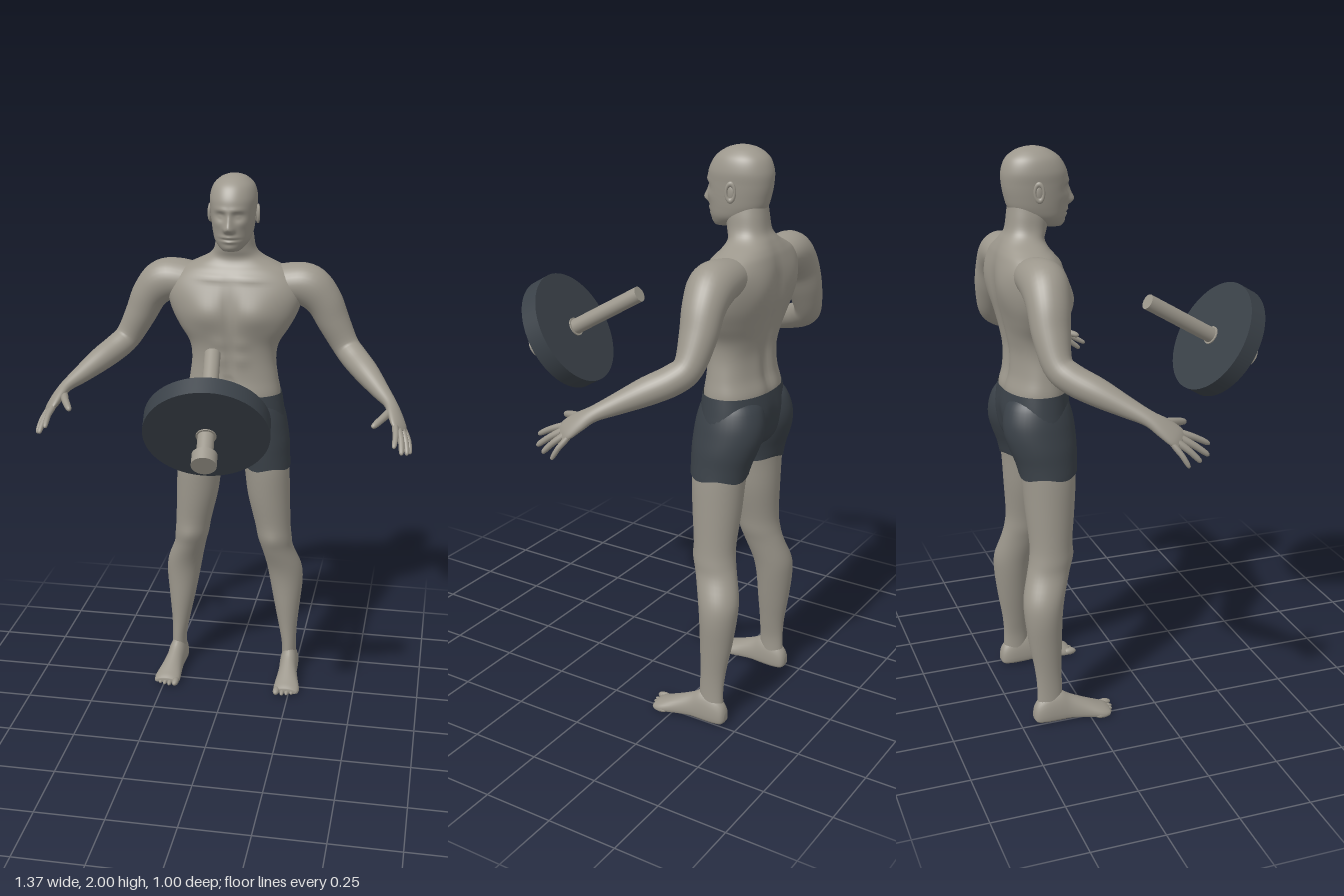
import * as THREE from 'three';

const skin = new THREE.MeshStandardMaterial({ color: 0x9c978c });
skin.name = 'skin and steel';
const slate = new THREE.MeshStandardMaterial({ color: 0x3a4148, side: THREE.DoubleSide });
slate.name = 'dark slate';

// Catmull-Rom interpolation of number rows, k steps per span
function smoothRows(rows, k) {
  const out = [], n = rows.length - 1;
  for (let i = 0; i < n; i++) {
    const a = rows[Math.max(i - 1, 0)], b = rows[i], c = rows[i + 1], d = rows[Math.min(i + 2, n)];
    for (let s = 0; s < k; s++) {
      const t = s / k;
      out.push(b.map((v, j) => 0.5 * (2 * v + (c[j] - a[j]) * t + (2 * a[j] - 5 * v + 4 * c[j] - d[j]) * t * t
        + (3 * v - a[j] - 3 * c[j] + d[j]) * t * t * t)));
    }
  }
  out.push(rows[n]);
  return out;
}

// Skin over rings of equal point count, with optional end caps
function loft(rings, caps = true) {
  const n = rings[0].length, pts = rings.flat(), idx = [];
  for (let i = 0; i < rings.length - 1; i++) {
    for (let j = 0; j < n; j++) {
      const a = i * n + j, b = i * n + (j + 1) % n;
      idx.push(a, b, a + n, b, b + n, a + n);
    }
  }
  if (caps) {
    for (const i of [0, rings.length - 1]) {
      const mid = rings[i].reduce((s, p) => s.add(p), new THREE.Vector3()).divideScalar(n);
      const m = pts.push(mid) - 1;
      for (let j = 0; j < n; j++) {
        const a = i * n + j, b = i * n + (j + 1) % n;
        if (i) idx.push(a, b, m); else idx.push(b, a, m);
      }
    }
  }
  const g = new THREE.BufferGeometry().setFromPoints(pts);
  g.setIndex(idx);
  g.computeVertexNormals();
  return g;
}

const bell = (v, s) => Math.exp(-(v * v) / (2 * s * s));

// Upright body: rows [y, centre x, half width, front z, back z].
// Bumps [|x|, y, spread x, spread y, height] swell the front or back.
function column(rows, { n = 40, k = 4, pow = 1, front = [], back = [], caps = true, hem = 0 } = {}) {
  return loft(smoothRows(rows, k).map(([y, cx, rx, zf, zb], i) =>
    Array.from({ length: n }, (_, j) => {
      const t = (j / n) * Math.PI * 2, c = Math.cos(t), s = -Math.sin(t);
      const x = cx + rx * Math.sign(c) * Math.abs(c) ** pow;
      let z = (zf + zb) / 2 + ((zf - zb) / 2) * Math.sign(s) * Math.abs(s) ** pow;
      for (const [bx, by, sx, sy, h] of s > 0 ? front : back) {
        z += s * h * bell(Math.abs(x) - bx, sx) * bell(y - by, sy);
      }
      return new THREE.Vector3(x, y + (i === 0 ? hem * Math.sin(4 * t) : 0), z);
    })), caps);
}

// Limb along a path: rows [x, y, z, half width, half thickness]
const palmNormal = new THREE.Vector3(0.72, 0.66, 0.22).normalize();
function limb(rows, n = 20, k = 4) {
  const r = smoothRows(rows, k), c = r.map(q => new THREE.Vector3(q[0], q[1], q[2]));
  return loft(r.map((q, i) => {
    const T = c[Math.min(i + 1, c.length - 1)].clone().sub(c[Math.max(i - 1, 0)]).normalize();
    const V = palmNormal.clone().addScaledVector(T, -palmNormal.dot(T)).normalize();
    const U = V.clone().cross(T);
    return Array.from({ length: n }, (_, j) => {
      const t = (j / n) * Math.PI * 2;
      return c[i].clone().addScaledVector(U, Math.cos(t) * Math.max(q[3], 0.001))
        .addScaledVector(V, Math.sin(t) * Math.max(q[4], 0.001));
    });
  }));
}

function mirrored(g) {
  const m = g.clone().scale(-1, 1, 1), a = m.index.array;
  for (let i = 0; i < a.length; i += 3) [a[i], a[i + 1]] = [a[i + 1], a[i]];
  m.computeVertexNormals();
  return m;
}

export function createModel() {
  const model = new THREE.Group();
  model.name = 'athlete with plate';
  const add = (name, g, mat = skin, parent = model) => {
    const m = new THREE.Mesh(g, mat);
    m.name = name;
    parent.add(m);
    return m;
  };
  const pair = (name, g, mat) => {
    add(name + 'Left', g, mat);
    add(name + 'Right', mirrored(g), mat);
  };

  // Torso and neck, with chest, abdomen, shoulder blades and spine
  add('torso', column([
    [1.14, 0, 0.172, -0.262, -0.463], [1.19, 0, 0.176, -0.258, -0.468], [1.25, 0, 0.166, -0.266, -0.452],
    [1.32, 0, 0.158, -0.267, -0.449], [1.38, 0, 0.168, -0.262, -0.46], [1.44, 0, 0.205, -0.252, -0.474],
    [1.5, 0, 0.236, -0.25, -0.486], [1.56, 0, 0.25, -0.255, -0.49], [1.61, 0, 0.24, -0.27, -0.489],
    [1.65, 0, 0.2, -0.29, -0.482], [1.675, 0, 0.15, -0.308, -0.473], [1.7, 0, 0.1, -0.315, -0.46],
    [1.73, 0, 0.076, -0.305, -0.443], [1.78, 0, 0.068, -0.295, -0.435], [1.82, 0, 0.06, -0.3, -0.43],
  ], {
    n: 80, k: 5, pow: 0.88,
    front: [[0.09, 1.5, 0.055, 0.04, 0.02], [0, 1.52, 0.014, 0.06, -0.01], [0, 1.3, 0.01, 0.08, -0.006],
      [0.04, 1.39, 0.022, 0.018, 0.006], [0.04, 1.33, 0.022, 0.018, 0.006], [0, 1.245, 0.009, 0.009, -0.01],
      [0.07, 1.63, 0.05, 0.009, 0.006]],
    back: [[0, 1.4, 0.018, 0.15, -0.013], [0.11, 1.56, 0.05, 0.05, 0.012], [0.05, 1.28, 0.025, 0.08, 0.006]],
  }));

  // Head with sculpted face
  add('head', column([
    [1.735, 0, 0.03, -0.25, -0.31], [1.747, 0, 0.046, -0.243, -0.35], [1.77, 0, 0.064, -0.236, -0.4],
    [1.8, 0, 0.073, -0.231, -0.43], [1.84, 0, 0.079, -0.227, -0.443], [1.88, 0, 0.083, -0.225, -0.45],
    [1.92, 0, 0.085, -0.23, -0.45], [1.96, 0, 0.074, -0.252, -0.435], [1.985, 0, 0.05, -0.285, -0.405],
    [1.996, 0, 0.025, -0.315, -0.375], [2, 0, 0.004, -0.34, -0.348],
  ], {
    n: 112, k: 8, pow: 0.95,
    front: [[0, 1.82, 0.011, 0.012, 0.021], [0, 1.845, 0.009, 0.018, 0.012], [0.012, 1.814, 0.006, 0.007, 0.008],
      [0.032, 1.862, 0.014, 0.01, -0.015], [0.032, 1.861, 0.009, 0.006, 0.008], [0.028, 1.884, 0.02, 0.007, 0.005],
      [0, 1.788, 0.02, 0.005, 0.008], [0, 1.772, 0.018, 0.005, 0.007], [0, 1.78, 0.022, 0.0025, -0.005],
      [0, 1.749, 0.018, 0.009, 0.005], [0.05, 1.835, 0.014, 0.012, 0.005]],
  }));

  // Ears
  const rim = new THREE.TorusGeometry(0.018, 0.006, 8, 24).scale(0.8, 1.5, 1).rotateY(Math.PI / 2 + 0.3);
  pair('earRim', rim.translate(0.086, 1.858, -0.347));
  pair('earInner', new THREE.SphereGeometry(0.018, 16, 10).scale(0.35, 1.4, 0.75).translate(0.081, 1.856, -0.345));

  // Shoulder, arm and palm in one sweep
  pair('arm', limb([
    [0.1, 1.585, -0.39, 0.068, 0.06], [0.2, 1.602, -0.39, 0.078, 0.07], [0.27, 1.592, -0.39, 0.078, 0.079],
    [0.325, 1.54, -0.395, 0.071, 0.068], [0.365, 1.46, -0.4, 0.063, 0.059], [0.412, 1.373, -0.395, 0.049, 0.05],
    [0.45, 1.335, -0.36, 0.05, 0.049], [0.5, 1.3, -0.295, 0.047, 0.045], [0.555, 1.26, -0.22, 0.035, 0.033],
    [0.597, 1.23, -0.162, 0.028, 0.022], [0.617, 1.203, -0.122, 0.036, 0.02], [0.634, 1.174, -0.086, 0.04, 0.016],
    [0.643, 1.158, -0.068, 0.032, 0.008],
  ], 32, 5));

  // Fingers, index to little, then the thumb
  const digits = [
    [0.62, 1.18, -0.07, 0.625, 1.13, 0.035, 0.0105], [0.631, 1.17, -0.077, 0.652, 1.102, 0.022, 0.011],
    [0.644, 1.161, -0.088, 0.67, 1.09, -0.012, 0.0105], [0.654, 1.152, -0.1, 0.68, 1.08, -0.055, 0.009],
    [0.598, 1.208, -0.13, 0.545, 1.185, -0.015, 0.0135],
  ];
  digits.forEach(([x, y, z, X, Y, Z, r], i) => {
    const at = (t, w, arch) => [x + (X - x) * t + arch * 0.72, y + (Y - y) * t + arch * 0.66, z + (Z - z) * t, w, w];
    pair(i < 4 ? 'finger' + (i + 1) : 'thumb', limb([
      at(-0.1, r, 0), at(0.2, r * 1.1, 0.004), at(0.5, r, 0.007), at(0.8, r * 0.9, 0.004),
      at(0.95, r * 0.65, 0.001), at(1, 0.001, 0)], 12, 3));
  });

  // Legs
  pair('leg', column([
    [0.04, 0.226, 0.03, -0.345, -0.44], [0.12, 0.225, 0.028, -0.345, -0.435], [0.2, 0.219, 0.036, -0.345, -0.44],
    [0.3, 0.213, 0.051, -0.34, -0.456], [0.4, 0.208, 0.065, -0.335, -0.468], [0.47, 0.198, 0.068, -0.323, -0.468],
    [0.55, 0.174, 0.062, -0.297, -0.447], [0.6, 0.164, 0.066, -0.285, -0.435], [0.66, 0.156, 0.069, -0.28, -0.43],
    [0.78, 0.14, 0.081, -0.265, -0.438], [0.9, 0.13, 0.086, -0.256, -0.446], [1, 0.115, 0.09, -0.26, -0.46],
  ], { n: 36, front: [[0.164, 0.61, 0.025, 0.025, 0.007]] }));

  // Feet: rows [z, centre x, half width, top, sole]
  const foot = smoothRows([
    [-0.452, 0.228, 0.012, 0.045, 0.018], [-0.442, 0.228, 0.027, 0.075, 0.004], [-0.41, 0.228, 0.035, 0.105, 0],
    [-0.36, 0.229, 0.036, 0.115, 0], [-0.32, 0.231, 0.036, 0.092, 0.003], [-0.27, 0.235, 0.042, 0.068, 0.002],
    [-0.22, 0.239, 0.05, 0.045, 0], [-0.195, 0.24, 0.049, 0.034, 0], [-0.18, 0.24, 0.042, 0.025, 0.006],
  ], 4).map(([z, cx, rx, top, low]) => Array.from({ length: 28 }, (_, j) => {
    const t = (j / 28) * Math.PI * 2, s = Math.sin(t);
    const v = s < 0 ? -(Math.abs(s) ** 0.5) : s;
    return new THREE.Vector3(cx + rx * Math.cos(t), low + (top - low) * (v > 0 ? 0.3 + 0.7 * v : 0.3 + 0.3 * v), z);
  }));
  pair('foot', loft(foot));
  for (let i = 0; i < 5; i++) {
    const r = i ? 0.0095 : 0.0135;
    pair('toe' + (i + 1), new THREE.SphereGeometry(1, 14, 10).scale(r, r, 0.028)
      .translate(0.203 + i * 0.0185 + (i ? 0.004 : 0), r, -0.184 - i * i * 0.0016));
  }

  // Shorts: hips and two short legs
  add('shortsHips', column([
    [0.975, 0, 0.04, -0.31, -0.41], [0.995, 0, 0.1, -0.275, -0.45], [1.03, 0, 0.17, -0.255, -0.472],
    [1.08, 0, 0.194, -0.247, -0.483], [1.13, 0, 0.19, -0.246, -0.485], [1.19, 0, 0.181, -0.252, -0.474],
  ], { n: 56, pow: 0.92, back: [[0, 1.06, 0.015, 0.05, -0.012]], caps: false }), slate);
  pair('shortsLeg', column([
    [0.905, 0.13, 0.091, -0.251, -0.451], [0.95, 0.123, 0.094, -0.248, -0.462], [1, 0.115, 0.099, -0.246, -0.48],
    [1.05, 0.106, 0.1, -0.247, -0.494], [1.1, 0.098, 0.098, -0.252, -0.494], [1.15, 0.09, 0.09, -0.265, -0.478],
    [1.18, 0.09, 0.07, -0.29, -0.45],
  ], { n: 40, caps: false, hem: 0.006 }), slate);

  // Weight plate on its tilted handle
  const weight = new THREE.Group();
  weight.name = 'weight';
  weight.position.set(0.027, 1.273, 0.345);
  weight.quaternion.setFromUnitVectors(new THREE.Vector3(0, 1, 0), new THREE.Vector3(-0.05, 0.26, -0.435).normalize());
  model.add(weight);
  const disc = (name, r, from, to, mat) =>
    add(name, new THREE.CylinderGeometry(r, r, to - from, 64).translate(0, (from + to) / 2, 0), mat, weight);
  disc('plate', 0.21, -0.033, 0.033, slate);
  disc('handle', 0.028, -0.15, 0.334, skin);
  disc('plateCollar', 0.034, -0.037, 0.037, skin);
  disc('endKnob', 0.042, -0.16, -0.115, skin);
  return model;
}
